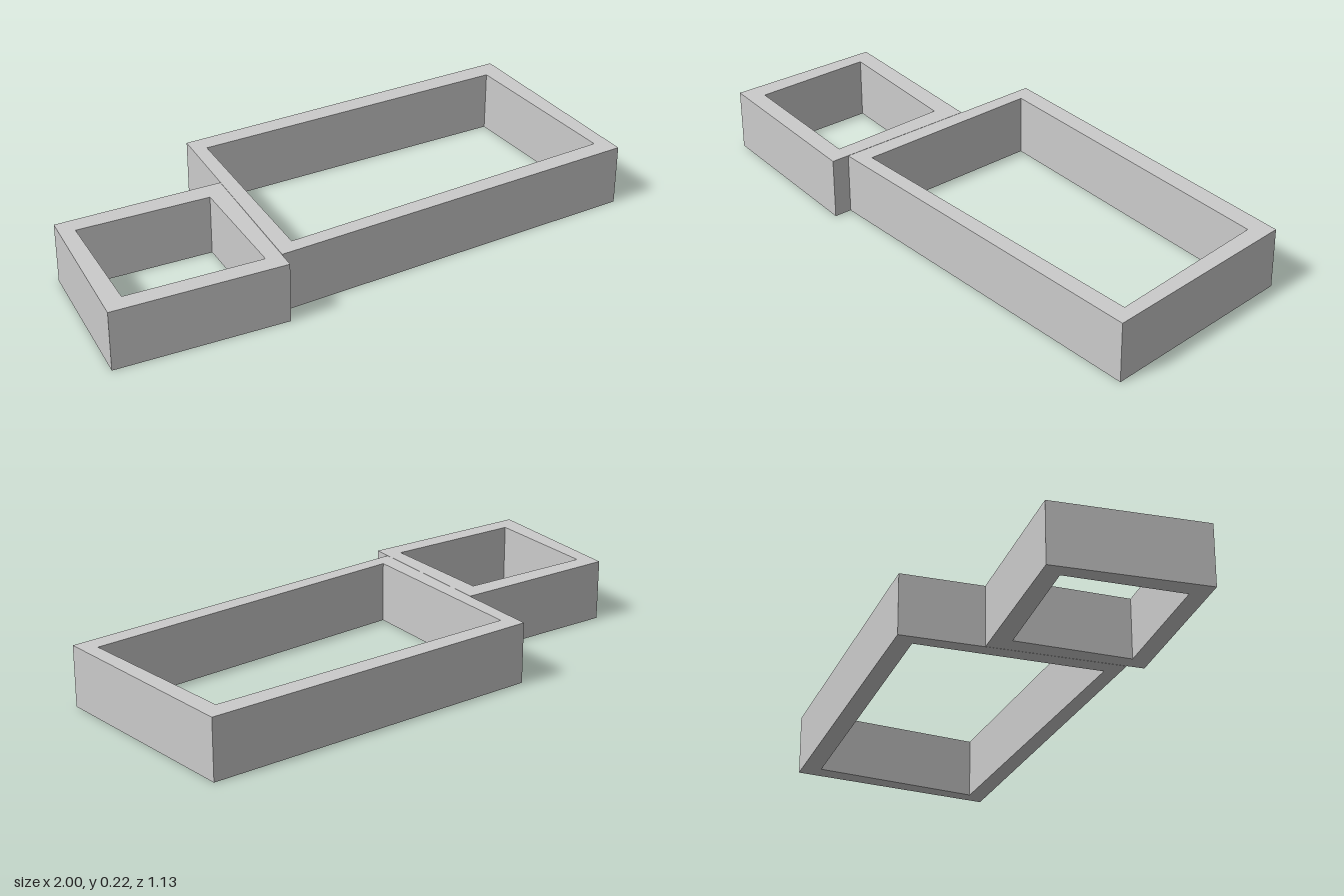
import * as THREE from 'three';

const HEIGHT = 0.225;

// Upright wall ring extruded between an outer and an inner plan outline, given as [x, z] corners
function wallRing(name, outer, inner, material) {
  const toPoints = (corners) => corners.map(([x, z]) => new THREE.Vector2(x, z));
  const shape = new THREE.Shape(toPoints(outer));
  shape.holes.push(new THREE.Path(toPoints(inner)));
  const geometry = new THREE.ExtrudeGeometry(shape, { depth: HEIGHT, bevelEnabled: false });
  geometry.rotateX(Math.PI / 2); // plan y becomes z, depth runs down
  geometry.translate(0, HEIGHT, 0);
  const mesh = new THREE.Mesh(geometry, material);
  mesh.name = name;
  return mesh;
}

export function createModel() {
  const group = new THREE.Group();
  group.name = 'joinedWallEnclosures';
  const material = new THREE.MeshStandardMaterial({ color: 0xcccccc, flatShading: true });

  // Large enclosure
  group.add(wallRing(
    'largeEnclosureWalls',
    [[-0.441, -0.361], [0.81, -0.567], [0.997, 0.163], [-0.334, 0.43]],
    [[-0.382, -0.305], [0.762, -0.487], [0.928, 0.11], [-0.281, 0.364]],
    material
  ));

  // Small enclosure, its side resting against the large one
  group.add(wallRing(
    'smallEnclosureWalls',
    [[-1, 0.016], [-0.402, -0.064], [-0.327, 0.493], [-0.947, 0.567]],
    [[-0.939, 0.072], [-0.461, 0.016], [-0.393, 0.436], [-0.885, 0.495]],
    material
  ));

  return group;
}
